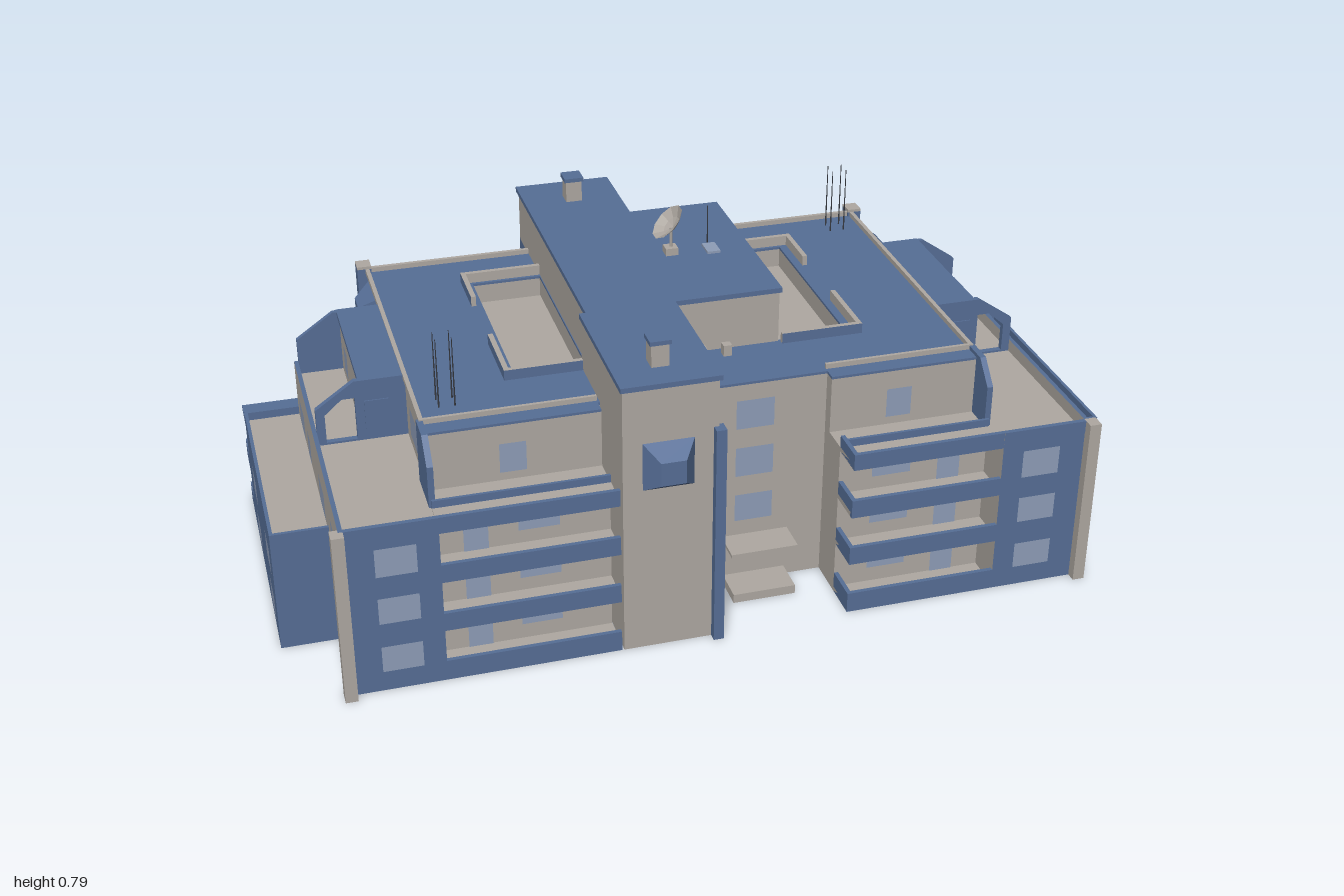
import * as THREE from 'three';

const mat = (name, color, side = THREE.FrontSide) => {
  const m = new THREE.MeshStandardMaterial({ color, side });
  m.name = name;
  return m;
};

export function createModel() {
  const blue = mat('blue paint', 0x566e96, THREE.DoubleSide);
  const beige = mat('beige plaster', 0xaea8a1, THREE.DoubleSide);
  const glass = mat('window glass', 0x8e9db7);
  const dark = mat('dark metal', 0x3a3d44);
  const root = new THREE.Group();

  const add = (name, geo, m) => {
    const mesh = new THREE.Mesh(geo, m);
    mesh.name = name;
    root.add(mesh);
    return mesh;
  };
  // box from its limits; m is one material or six (+x -x +y -y +z -z), null leaves a face open
  const box = (name, x0, x1, y0, y1, z0, z1, m) => {
    const geo = new THREE.BoxGeometry(Math.abs(x1 - x0), y1 - y0, z1 - z0);
    if (Array.isArray(m)) {
      const all = Array.from(geo.index.array);
      const kept = geo.groups.filter(g => m[g.materialIndex]);
      geo.setIndex(kept.flatMap(g => all.slice(g.start, g.start + g.count)));
      geo.clearGroups();
      kept.forEach((g, i) => geo.addGroup(i * 6, 6, g.materialIndex));
      m = m.map(f => f || beige);
    }
    const b = add(name, geo, m);
    b.position.set((x0 + x1) / 2, (y0 + y1) / 2, (z0 + z1) / 2);
    return b;
  };
  const outline = (pts, fx = 1) => pts.map(p => new THREE.Vector2(fx * p[0], p[1]));
  const plate = (shape, depth) => new THREE.ExtrudeGeometry(shape, { depth, bevelEnabled: false });
  // single-faced panes just outside a wall, facing away from the centre
  const e = 0.002;
  const winZ = (x0, x1, y0, y1, z) => {
    const w = add('window', new THREE.PlaneGeometry(Math.abs(x1 - x0), y1 - y0), glass);
    w.position.set((x0 + x1) / 2, (y0 + y1) / 2, z + Math.sign(z) * e);
    w.rotation.y = z > 0 ? 0 : Math.PI;
  };
  const winX = (z0, z1, y0, y1, x) => {
    const w = add('window', new THREE.PlaneGeometry(z1 - z0, y1 - y0), glass);
    w.position.set(x + Math.sign(x) * e, (y0 + y1) / 2, (z0 + z1) / 2);
    w.rotation.y = Math.sign(x) * Math.PI / 2;
  };
  const rows = [[0.05, 0.115], [0.175, 0.24], [0.295, 0.365], [0.42, 0.488]];
  const cap = [beige, beige, blue, beige, beige, beige];

  // hollow main block and roof slab with two sunken wells
  box('mainBlock', -0.64, 0.645, 0, 0.48, -0.435, -0.22, [beige, beige, beige, null, null, beige]);
  box('mainBlock', -0.64, 0.645, 0.39, 0.48, -0.22, 0.35, [beige, beige, beige, null, null, null]);
  const roofShape = new THREE.Shape(outline([[-0.64, 0.435], [0.645, 0.435], [0.645, -0.4], [0.285, -0.4],
    [0.285, -0.37], [-0.25, -0.37], [-0.25, -0.4], [-0.64, -0.4]]));
  for (const [a, b] of [[-0.4, -0.232], [0.225, 0.395]]) {
    roofShape.holes.push(new THREE.Path(outline([[a, 0.29], [b, 0.29], [b, -0.195], [a, -0.195]])));
  }
  for (const [name, y, h, m] of [['upperWall', 0.48, 0.047, beige], ['roof', 0.527, 0.006, blue]]) {
    add(name, plate(roofShape, h).rotateX(-Math.PI / 2), m).position.y = y;
  }
  for (const s of [-1, 1]) box('roofParapet', s * 0.635, s * 0.645, 0.533, 0.545, -0.435, 0.36, beige);
  for (const [a, b] of [[-0.64, -0.23], [0.235, 0.645]]) box('roofParapet', a, b, 0.533, 0.545, -0.435, -0.425, beige);
  for (const [a, b] of [[-0.64, -0.25], [0.285, 0.645]]) box('roofParapet', a, b, 0.533, 0.545, 0.352, 0.36, beige);

  // low corner walls around the wells, blue on the outside
  for (const s of [-1, 1]) for (const [a, b, c, d] of [[-0.31, -0.17, -0.31, -0.298], [0.03, 0.215, 0.203, 0.215]]) {
    const m = [s > 0 ? blue : beige, s < 0 ? blue : beige, beige, beige, c > 0 ? blue : beige, c < 0 ? blue : beige];
    box('wellWall', s * 0.415, s * 0.427, 0.533, 0.558, a, b, m);
    box('wellWall', s * 0.23, s * 0.415, 0.533, 0.558, c, d, m);
  }

  // central high block and the two towers
  box('centralBlock', -0.23, 0.225, 0.48, 0.66, -0.3, 0.2, beige);
  box('frontTower', -0.245, -0.03, 0, 0.48, 0.35, 0.56, [blue, beige, null, null, beige, null]);
  box('frontTowerTop', -0.245, -0.03, 0.48, 0.66, 0.2, 0.56, [blue, beige, blue, beige, beige, beige]);
  box('backTower', -0.23, 0, 0, 0.54, -0.53, -0.435, [blue, blue, blue, null, null, blue]);
  box('backTowerTop', -0.23, 0, 0.53, 0.66, -0.525, -0.3, beige);
  box('highRoof', -0.235, 0.23, 0.66, 0.672, -0.305, 0.205, blue);
  box('highRoof', -0.25, -0.025, 0.66, 0.672, 0.205, 0.567, blue);
  box('highRoof', -0.235, 0.005, 0.66, 0.672, -0.535, -0.305, blue);
  box('towerColumn', -0.042, -0.018, 0, 0.545, 0.55, 0.58, blue);
  box('towerColumn', -0.01, 0.012, 0, 0.545, -0.55, -0.525, blue);
  box('roofDoor', 0.224, 0.227, 0.54, 0.605, -0.07, -0.015, beige);

  // entrance bays with canopies and steps
  box('frontBay', -0.03, 0.285, 0, 0.527, 0.35, 0.37, [beige, null, null, null, beige, null]);
  box('backBay', 0, 0.235, 0, 0.54, -0.53, -0.435, [blue, null, blue, null, null, blue]);
  for (const [a, b] of rows.slice(1)) {
    winZ(0.07, 0.16, a - 0.005, b, 0.371);
    winZ(0.07, 0.16, a, b, -0.531);
  }
  box('frontCanopy', 0.04, 0.2, 0.122, 0.13, 0.37, 0.45, beige);
  box('frontStep', 0.045, 0.195, 0, 0.022, 0.37, 0.455, beige);
  box('backCanopy', 0.04, 0.195, 0.12, 0.127, -0.575, -0.53, blue);
  const step = new THREE.Shape(outline([[0.53, 0], [0.61, 0], [0.61, 0.025], [0.57, 0.05], [0.53, 0.05]]));
  add('backStep', plate(step, 0.15).rotateY(Math.PI / 2), [blue, beige]).position.x = 0.045;
  for (const x of [0.03, 0.09]) box('roofVent', x - 0.01, x + 0.01, 0.533, 0.56, 0.22, 0.24, beige);

  // tapered bay windows on towers and sides
  const bayGeo = new THREE.CylinderGeometry(0.04, 0.082, 0.042, 4, 1).rotateY(Math.PI / 4)
    .rotateX(Math.PI / 2).toNonIndexed();
  bayGeo.computeVertexNormals();
  for (const [x, z, turn] of [[-0.143, 0.582, 0], [-0.12, -0.552, Math.PI],
    [0.667, -0.335, Math.PI / 2], [-0.662, -0.335, -Math.PI / 2]]) {
    const bay = add('bayWindow', bayGeo, blue);
    bay.position.set(x, 0.47, z);
    bay.rotation.y = turn;
  }

  for (const s of [-1, 1]) {
    const X = (a) => s * a;
    const sides = (outer, inner, ...rest) => (s > 0 ? [outer, inner, ...rest] : [inner, outer, ...rest]);
    const inner = s > 0 ? 0.285 : 0.25;
    // front rooms, balcony floors and parapets
    box('frontRooms', X(inner), X(0.645), 0, 0.39, 0.35, 0.47, sides(null, beige, beige, null, beige, null));
    box('topRooms', X(inner), X(0.645), 0.39, 0.527, 0.35, 0.4, beige);
    [0, 0.13, 0.255, 0.38].forEach((y, i) => {
      const h = [0.05, 0.175, 0.3, 0.42][i];
      box('balconyFloor', X(inner), X(0.645), y, y + 0.012, 0.47, 0.55, beige);
      box('balconyParapet', X(inner), X(0.645), y, h, 0.55, 0.56, blue);
      if (s > 0) box('balconyEnd', inner, inner + 0.01, y, h, 0.47, 0.55, blue);
      if (i < 3) {
        winZ(X(0.365), X(0.458), h, h + 0.062, 0.47);
        winZ(X(0.525), X(0.58), y + 0.012, h + 0.055, 0.47);
      }
    });
    box('terraceCurb', X(inner), X(0.645), 0.39, 0.41, 0.47, 0.477, blue);
    winZ(X(0.42), X(0.48), 0.41, 0.482, 0.4);

    // hollow side block with terrace and parapet
    box('sideBlock', X(0.64), X(0.855), 0, 0.39, -0.22, 0.47, sides(beige, null, beige, null, null, beige));
    box('sideBlockFront', X(0.645), X(0.855), 0, 0.39, 0.47, 0.56, sides(beige, beige, beige, null, blue, null));
    box('terraceParapet', X(0.845), X(0.855), 0.39, 0.42, -0.22, 0.56, cap);
    box('terraceParapet', X(0.645), X(0.845), 0.39, 0.42, 0.55, 0.561, [beige, beige, blue, beige, blue, beige]);
    box('cornerColumn', X(0.845), X(0.873), 0, 0.42, 0.55, 0.583, beige);
    for (const [a, b] of rows.slice(0, 3)) {
      winZ(X(0.695), X(0.785), a, b, 0.56);
      winX(0.415, 0.508, a, b, X(0.855));
    }
    for (const [a, b] of [[0.215, 0.31], [0.01, 0.065], [-0.145, -0.05]]) winX(a, b, 0.295, 0.36, X(0.855));

    // low outer wing
    const zf = s > 0 ? 0.365 : 0.345;
    box('outerWing', X(0.855), X(0.985), 0, 0.28, -0.22, zf, sides(blue, null, beige, null, blue, blue));
    box('wingParapet', X(0.977), X(0.985), 0.28, 0.3, -0.22, zf, blue);
    for (const z of [-0.22, zf - 0.008]) box('wingParapet', X(0.855), X(0.977), 0.28, 0.3, z, z + 0.008, blue);
    for (const [a, b] of rows.slice(0, 2)) {
      winX(0.215, 0.31, a, b, X(0.985));
      winX(-0.07, 0.02, a, b, X(0.985));
    }

    // back balconies
    for (const [a, b] of [[0, 0.05], [0.13, 0.175]]) {
      box('backBalcony', X(0.64), X(0.985), a, a + 0.012, -0.3, -0.22, blue);
      box('backParapet', X(0.64), X(0.985), a, b, -0.31, -0.3, blue);
      box('backParapet', X(0.975), X(0.985), a, b, -0.3, -0.22, blue);
      winZ(X(0.7), X(0.79), b, b + 0.06, -0.22);
    }
    box('backBalconyRoof', X(0.64), X(0.985), 0.26, 0.27, -0.31, -0.22, blue);

    // terrace room between an open front fin and a solid back fin
    box('terraceRoom', X(0.64), X(0.74), 0.39, 0.53, -0.21, 0.13, beige);
    box('terraceRoomRoof', X(0.64), X(0.745), 0.53, 0.542, -0.225, 0.14, blue);
    winX(-0.145, -0.09, 0.42, 0.485, X(0.74));
    winX(0.2, 0.293, 0.42, 0.49, X(s > 0 ? 0.645 : 0.64));
    const finLine = outline([[0.64, 0.39], [0.845, 0.39], [0.845, 0.48], [0.755, 0.542], [0.64, 0.542]], s);
    add('backFin', plate(new THREE.Shape(finLine), 0.012), blue).position.z = -0.222;
    const fin = new THREE.Shape(finLine);
    fin.holes.push(new THREE.Path(outline(
      [[0.755, 0.395], [0.825, 0.395], [0.825, 0.465], [0.785, 0.5], [0.755, 0.5]], s)));
    add('frontFin', plate(fin, 0.014), blue).position.z = 0.13;
    box('finDoor', X(0.68), X(0.735), 0.42, 0.49, 0.143, 0.147, blue);
    const edge = new THREE.Shape(outline([[0.35, 0.39], [0.47, 0.39], [0.47, 0.49], [0.42, 0.542], [0.35, 0.542]], -1));
    add('balconyFin', plate(edge, 0.014).rotateY(Math.PI / 2), blue).position.x = s > 0 ? 0.636 : -0.65;

    // back wall windows and tall corner columns
    for (const [a, b] of rows) winZ(X(0.455), X(0.55), a, b, -0.435);
    box('backColumn', X(0.63), X(0.665), 0, 0.545, -0.46, -0.42, blue);
    box('backColumnCap', X(0.63), X(0.665), 0.545, 0.552, -0.46, -0.42, beige);

    // mast cluster
    for (const dx of [-0.018, 0.018]) for (const dz of [-0.018, 0.018]) {
      const mast = add('mast', new THREE.CylinderGeometry(0.001, 0.002, 0.17, 5), dark);
      mast.position.set(X(0.572) + dx, 0.615, (s > 0 ? -0.365 : 0.277) + dz);
    }
  }

  // chimneys
  for (const [x, z] of [[-0.143, 0.475], [-0.113, -0.425]]) {
    box('chimney', x - 0.02, x + 0.02, 0.67, 0.725, z - 0.02, z + 0.02, beige);
    box('chimneyCap', x - 0.024, x + 0.024, 0.725, 0.735, z - 0.024, z + 0.024, blue);
  }

  // roof dish, skylight and rod
  box('dishBase', 0.02, 0.05, 0.672, 0.69, -0.06, -0.03, beige);
  add('dishPost', new THREE.CylinderGeometry(0.004, 0.004, 0.05, 6), beige).position.set(0.036, 0.713, -0.045);
  const dishGeo = new THREE.LatheGeometry(outline([[0.001, 0], [0.025, 0.006], [0.048, 0.02]]), 10).toNonIndexed();
  dishGeo.computeVertexNormals();
  const dish = add('dish', dishGeo, beige);
  dish.position.set(0.041, 0.74, -0.045);
  dish.rotation.z = 0.8;
  box('skylight', 0.118, 0.15, 0.672, 0.678, -0.065, -0.015, glass);
  add('rod', new THREE.CylinderGeometry(0.0015, 0.0015, 0.1, 5), dark).position.set(0.135, 0.72, -0.075);

  return root;
}
